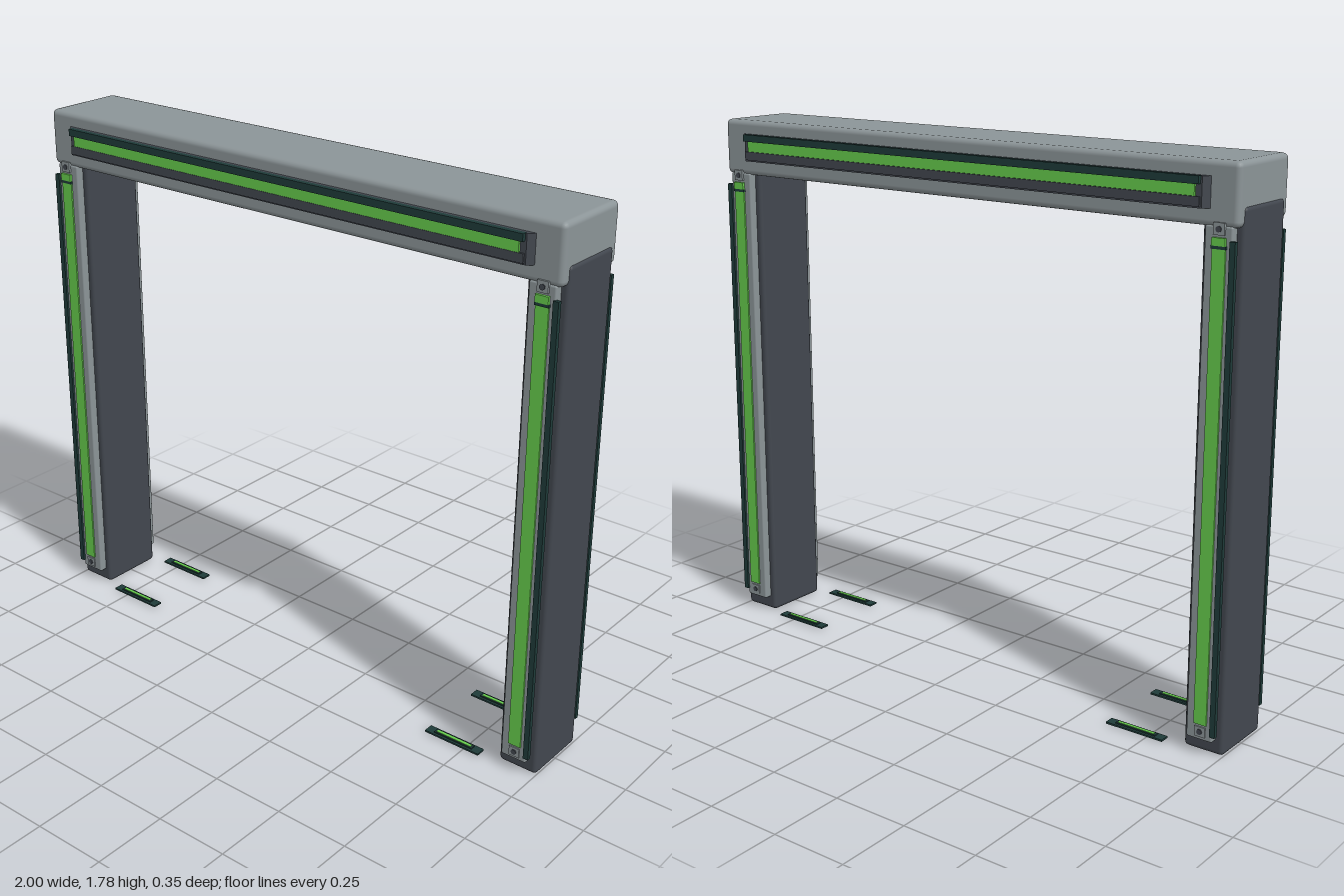
import * as THREE from 'three';
import { RoundedBoxGeometry } from 'three/addons/geometries/RoundedBoxGeometry.js';

const mat = (name, color) => {
  const m = new THREE.MeshStandardMaterial({ color });
  m.name = name;
  return m;
};

export function createModel() {
  const grey = mat('greyMetal', 0x8c9598);
  const dark = mat('darkMetal', 0x42474f);
  const teal = mat('darkTeal', 0x1f3b39);
  const green = mat('greenLight', 0x66cc4c);

  const model = new THREE.Group();
  model.name = 'lightGate';

  const add = (parent, name, geometry, material, x = 0, y = 0, z = 0) => {
    const mesh = new THREE.Mesh(geometry, material);
    mesh.name = name;
    mesh.position.set(x, y, z);
    parent.add(mesh);
    return mesh;
  };
  // Box given by its limits on each axis
  const box = (parent, name, material, x0, x1, y0, y1, z0, z1, radius = 0) => {
    const size = [x1 - x0, y1 - y0, z1 - z0];
    const geometry = radius ? new RoundedBoxGeometry(...size, 2, radius) : new THREE.BoxGeometry(...size);
    return add(parent, name, geometry, material, (x0 + x1) / 2, (y0 + y1) / 2, (z0 + z1) / 2);
  };
  // Rectangular bar with a tapered front face, its back at z = z0
  const taperedBar = (parent, name, material, w, h, depth, taper, y, z0) => {
    const geometry = new THREE.BoxGeometry(w, h, depth).toNonIndexed();
    const p = geometry.attributes.position;
    for (let i = 0; i < p.count; i++) {
      if (p.getZ(i) > 0) p.setX(i, p.getX(i) - Math.sign(p.getX(i)) * taper);
    }
    geometry.computeVertexNormals();
    add(parent, name, geometry, material, 0, y, z0 + depth / 2);
  };
  const screw = (parent, x, y, z) => {
    const s = add(parent, 'screw', new THREE.CylinderGeometry(0.009, 0.009, 0.008, 10), dark, x, y, z);
    s.rotation.x = Math.PI / 2;
  };

  // Top beam
  box(model, 'beam', grey, -0.994, 0.994, 1.595, 1.78, -0.142, 0.142, 0.018);

  // Columns, rising a little way up the ends of the beam
  for (const s of [-1, 1]) {
    const x0 = s > 0 ? 0.865 : -1;
    box(model, 'column', dark, x0, x0 + 0.135, 0, 1.655, -0.115, 0.115, 0.014);
  }

  // Lights repeat on the front and the back
  for (const face of [1, -1]) {
    const side = new THREE.Group();
    side.name = face > 0 ? 'frontLights' : 'backLights';
    if (face < 0) side.rotation.y = Math.PI;
    model.add(side);

    // Beam light: dark housing, lips and hood around a green strip
    taperedBar(side, 'beamLightHousing', dark, 1.81, 0.09, 0.02, 0.02, 1.69, 0.14);
    box(side, 'beamLightLip', dark, -0.88, 0.88, 1.65, 1.678, 0.155, 0.166);
    box(side, 'beamLightHood', teal, -0.88, 0.88, 1.713, 1.736, 0.155, 0.173);
    box(side, 'beamLightStrip', green, -0.865, 0.865, 1.679, 1.712, 0.159, 0.167);

    for (const s of [-1, 1]) {
      const span = (a, b) => (s > 0 ? [a, b] : [-b, -a]);
      // Column light panel with an outer trim
      box(side, 'columnPanel', grey, ...span(0.887, 0.975), 0.048, 1.6, 0.11, 0.141, 0.006);
      box(side, 'columnTrim', teal, ...span(0.97, 0.988), 0.07, 1.56, 0.134, 0.148);
      box(side, 'columnLightStrip', green, ...span(0.914, 0.957), 0.1, 1.568, 0.137, 0.146);
      // Clip near the top of the strip
      box(side, 'clipEdge', teal, ...span(0.912, 0.959), 1.536, 1.545, 0.139, 0.149);
      box(side, 'clip', green, ...span(0.914, 0.957), 1.545, 1.568, 0.139, 0.15);
      // End brackets and screws
      box(side, 'topBracket', grey, ...span(0.917, 0.953), 1.575, 1.61, 0.135, 0.148);
      box(side, 'bottomBracket', grey, ...span(0.917, 0.953), 0.06, 0.092, 0.135, 0.145);
      screw(side, s * 0.935, 1.592, 0.147);
      screw(side, s * 0.935, 0.076, 0.144);

      // Floor marker beside the column foot
      box(side, 'floorPlate', teal, ...span(0.605, 0.808), 0.004, 0.01, 0.114, 0.148);
      box(side, 'floorLightBase', teal, ...span(0.635, 0.778), 0.01, 0.014, 0.122, 0.14);
      box(side, 'floorLight', green, ...span(0.642, 0.771), 0.012, 0.0155, 0.126, 0.136);
    }
  }
  return model;
}
